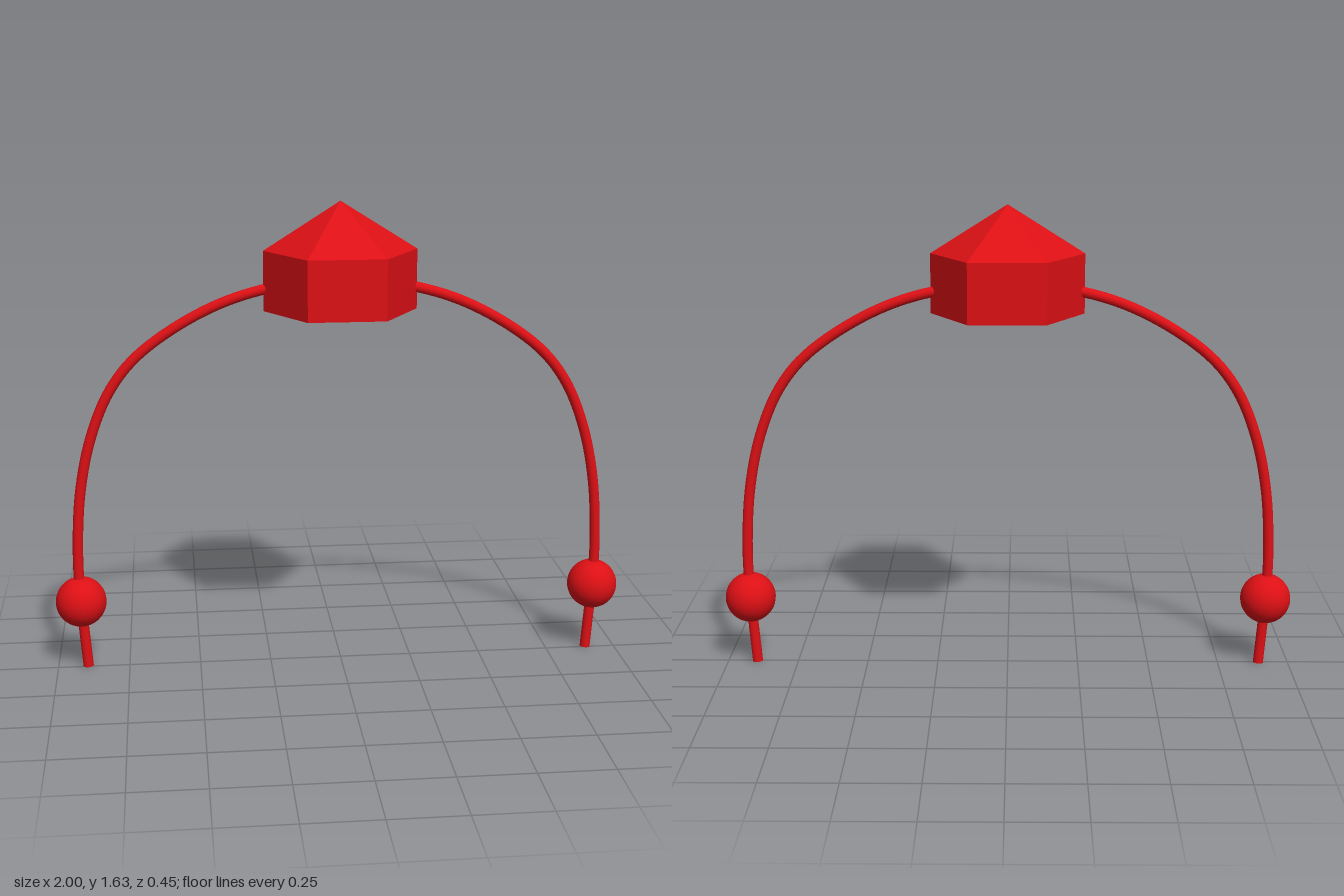
import * as THREE from 'three';

export function createModel() {
  const model = new THREE.Group();
  const red = new THREE.MeshStandardMaterial({ color: 0xdd1015 });
  const redFlat = new THREE.MeshStandardMaterial({ color: 0xdd1015, flatShading: true });
  const add = (name, geometry, material, x, y, z) => {
    const mesh = new THREE.Mesh(geometry, material);
    mesh.name = name;
    mesh.position.set(x, y, z);
    model.add(mesh);
    return mesh;
  };
  const bandZ = -0.005, bandRadius = 0.018;

  // Arched band: one half as points, mirrored to the other side
  const half = [
    [0.895, 0], [0.912, 0.24], [0.917, 0.4], [0.9, 0.64], [0.855, 0.84],
    [0.785, 1.0], [0.685, 1.12], [0.47, 1.26], [0.262, 1.333],
  ];
  const points = [
    ...half.map(([x, y]) => new THREE.Vector3(-x, y, 0)),
    new THREE.Vector3(0, 1.36, 0),
    ...half.map(([x, y]) => new THREE.Vector3(x, y, 0)).reverse(),
  ];
  const curve = new THREE.CatmullRomCurve3(points);
  add('band', new THREE.TubeGeometry(curve, 128, bandRadius, 16), red, 0, 0, bandZ);

  // Closed band ends and the ball on each side
  for (const [side, s] of [['left', 1], ['right', -1]]) {
    const cap = add(side + 'BandEnd', new THREE.CircleGeometry(bandRadius, 16), red, s * 0.895, 0, bandZ);
    const outward = curve.getTangent(s > 0 ? 1 : 0).multiplyScalar(s);
    cap.quaternion.setFromUnitVectors(new THREE.Vector3(0, 0, 1), outward);
    add(side + 'Ball', new THREE.SphereGeometry(0.088, 32, 24), red, s * 0.912, 0.241, bandZ);
  }

  // Hexagonal block with a pyramid roof, corners pointing along x
  const radius = 0.262, bottom = 1.26, eave = 1.465, apex = 1.63;
  const block = new THREE.CylinderGeometry(radius, radius, eave - bottom, 6);
  add('hexBlock', block.rotateY(Math.PI / 6), redFlat, 0, (bottom + eave) / 2, 0);
  const roof = new THREE.ConeGeometry(radius, apex - eave, 6, 1, true);
  add('hexRoof', roof.rotateY(Math.PI / 6), redFlat, 0, (eave + apex) / 2, 0);

  return model;
}
